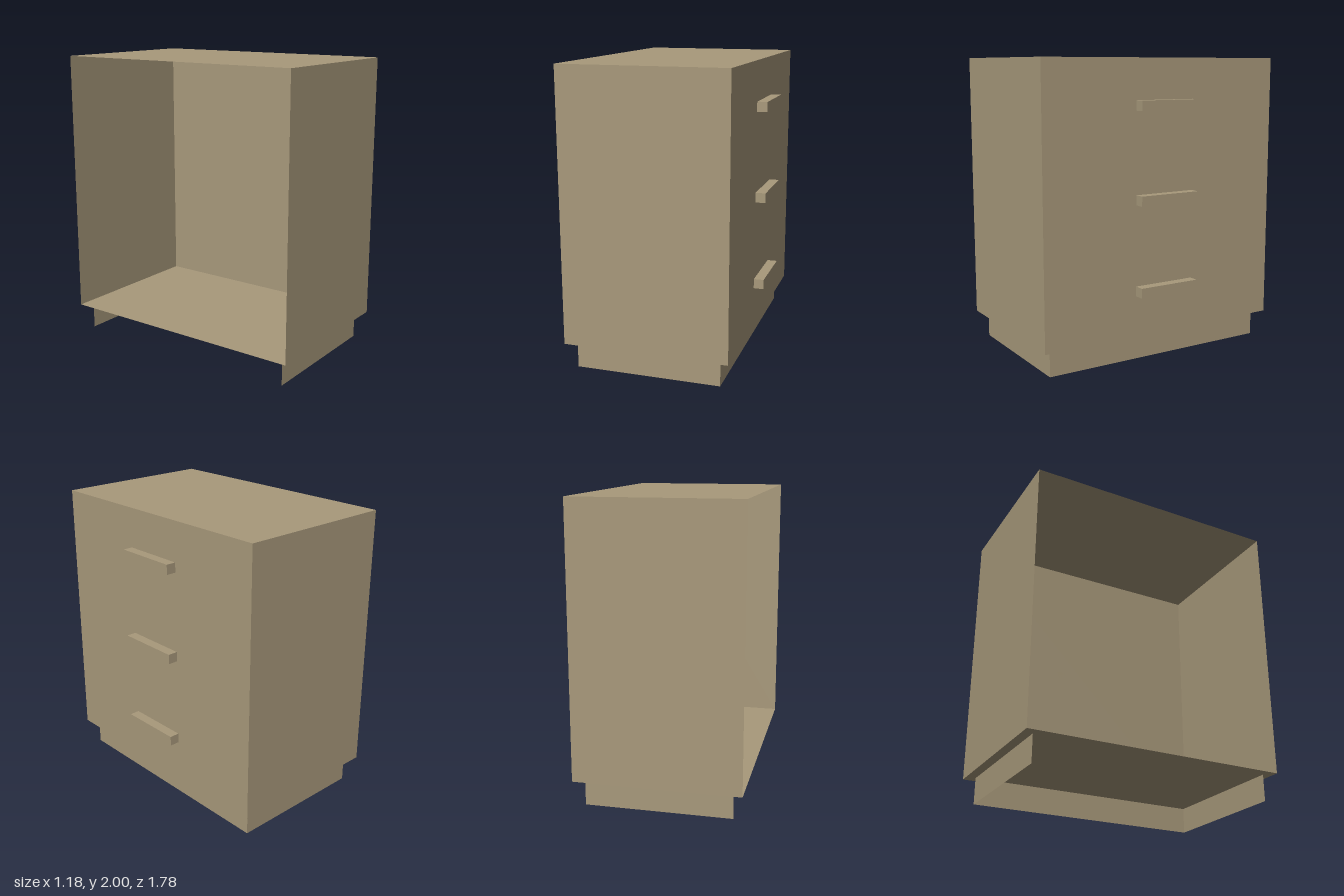
import * as THREE from 'three';

export function createModel() {
  const model = new THREE.Group();
  model.name = 'drawerCabinet';

  const wood = new THREE.MeshStandardMaterial({ color: 0xa8997b, side: THREE.DoubleSide });
  wood.name = 'tan wood';

  // Thin flat panel, turned about one axis and placed at its centre
  function panel(name, width, height, position, rotX = 0, rotY = 0) {
    const mesh = new THREE.Mesh(new THREE.PlaneGeometry(width, height), wood);
    mesh.name = name;
    mesh.rotation.set(rotX, rotY, 0);
    mesh.position.set(...position);
    model.add(mesh);
  }

  const back = -0.59, face = 0.52, base = 0.18, top = 2, half = 0.89;
  const depth = face - back, midX = (face + back) / 2;
  const midY = (top + base) / 2;

  // Carcass, open at the rear (-x)
  panel('drawerFront', half * 2, top - base, [face, midY, 0], 0, Math.PI / 2);
  panel('topPanel', depth, half * 2, [midX, top, 0], -Math.PI / 2);
  panel('floorPanel', depth, half * 2, [midX, base, 0], -Math.PI / 2);

  // Recessed plinth, open at the rear and underneath
  const plinthBack = -0.525, plinthFace = 0.453, plinthHalf = 0.825;
  panel('plinthFront', plinthHalf * 2, base, [plinthFace, base / 2, 0], 0, Math.PI / 2);

  // Matching sides of carcass and plinth
  for (const side of [1, -1]) {
    const turn = side > 0 ? 0 : Math.PI;
    panel('sidePanel', depth, top - base, [midX, midY, side * half], 0, turn);
    panel('plinthSide', plinthFace - plinthBack, base,
      [(plinthFace + plinthBack) / 2, base / 2, side * plinthHalf], 0, turn);
  }

  // Three bar handles
  for (const y of [0.488, 1.093, 1.7]) {
    const handle = new THREE.Mesh(new THREE.BoxGeometry(0.068, 0.066, 0.44), wood);
    handle.name = 'drawerHandle';
    handle.position.set(face + 0.034, y, 0);
    model.add(handle);
  }

  return model;
}
